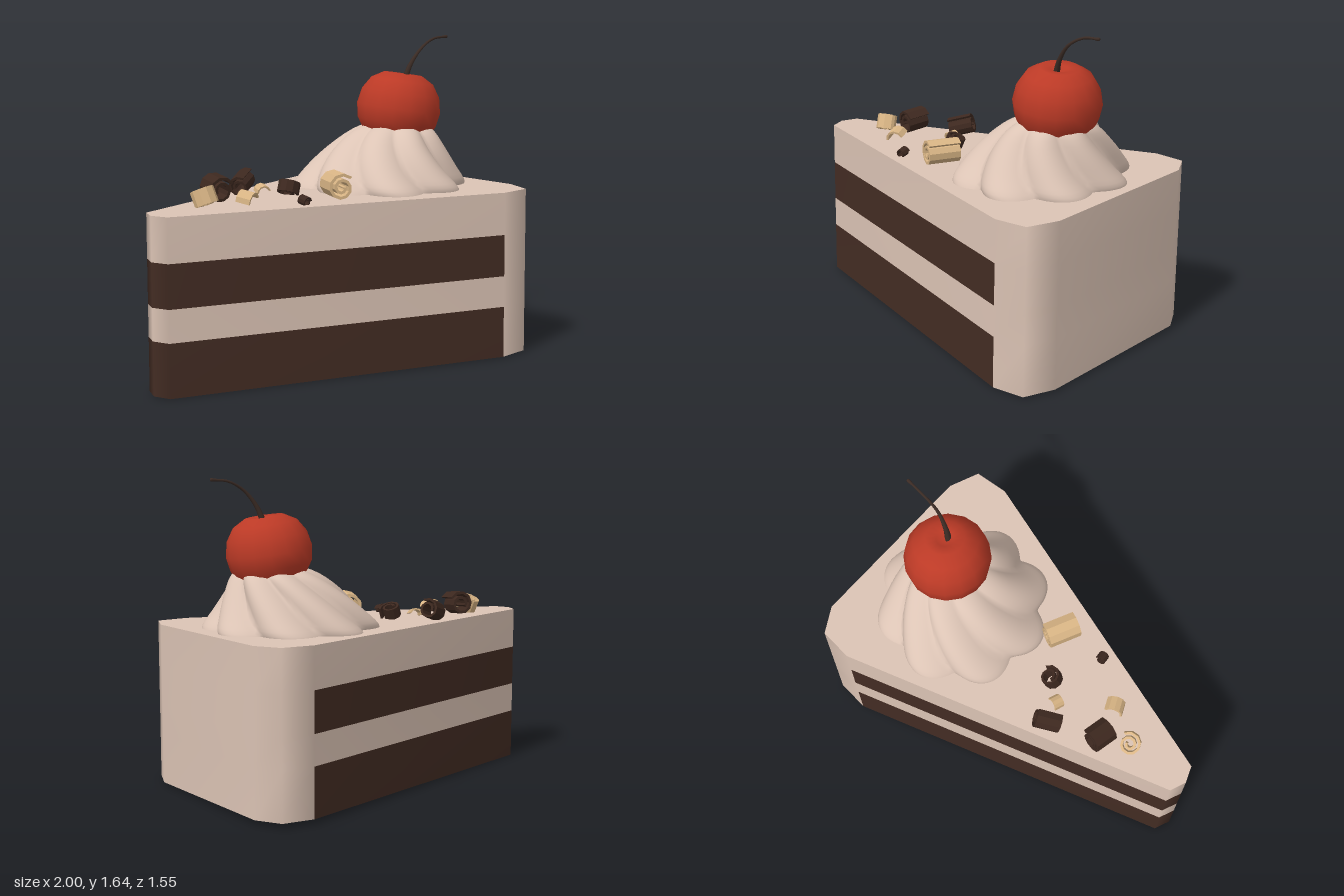
import * as THREE from 'three';
import { mergeVertices } from 'three/addons/utils/BufferGeometryUtils.js';

const material = (name, color, side = THREE.FrontSide) => {
  const m = new THREE.MeshStandardMaterial({ color, side });
  m.name = name;
  return m;
};

export function createModel() {
  const model = new THREE.Group();
  model.name = 'cakeSlice';
  const frosting = material('frosting', 0xdcc4b5);
  const sponge = material('chocolateSponge', 0x432c23);
  const cherryRed = material('cherryRed', 0xbc3a26);
  const stemBrown = material('stemBrown', 0x3c2c25);
  const darkChocolate = material('darkChocolate', 0x3d281f);
  const caramel = material('caramelChocolate', 0xd9b585);

  const add = (name, geometry, mat, parent = model) => {
    const mesh = new THREE.Mesh(geometry, mat);
    mesh.name = name;
    parent.add(mesh);
    return mesh;
  };
  const moveVertices = (geometry, rule) => {
    const p = geometry.attributes.position;
    const v = new THREE.Vector3();
    for (let i = 0; i < p.count; i++) {
      rule(v.fromBufferAttribute(p, i));
      p.setXYZ(i, v.x, v.y, v.z);
    }
    return geometry;
  };
  const smooth = (geometry) => {
    geometry.deleteAttribute('normal');
    geometry.deleteAttribute('uv');
    const merged = mergeVertices(geometry, 1e-4);
    merged.computeVertexNormals();
    return merged;
  };

  // Slice outline (x, z), starting at the tip and passing along the front
  const outline = [
    [-1, 0.61], [-0.99, 0.7], [-0.92, 0.76],
    [0.85, 0.4], [1, 0.3], [0.98, 0.13],
    [0.52, -0.69], [0.39, -0.77], [0.23, -0.7],
  ];
  const levels = [0, 0.263, 0.423, 0.637, 0.855];
  const height = levels[4];
  // The slice leans slightly towards the back
  const lean = (v) => {
    const z = v.z;
    v.z += 0.016 * (1 - v.y / height);
    v.y += 0.016 * (0.77 - z);
  };
  const topAt = (z) => height + 0.016 * (0.77 - z);

  // Walls: alternating sponge and frosting, with a frosted outer end
  const n = outline.length;
  const positions = [];
  for (const y of levels) for (const [x, z] of outline) positions.push(x, y, z);
  const faces = [[], []];
  for (let l = 0; l < 4; l++) {
    for (let i = 0; i < n; i++) {
      const j = (i + 1) % n;
      const isFrosted = l % 2 === 1 || (i >= 3 && i <= 7);
      const a = l * n + i, b = l * n + j;
      faces[isFrosted ? 0 : 1].push(a, b, b + n, a, b + n, a + n);
    }
  }
  const walls = new THREE.BufferGeometry();
  walls.setAttribute('position', new THREE.Float32BufferAttribute(positions, 3));
  walls.setIndex([...faces[0], ...faces[1]]);
  walls.addGroup(0, faces[0].length, 0);
  walls.addGroup(faces[0].length, faces[1].length, 1);
  moveVertices(walls, lean);
  walls.computeVertexNormals();
  add('layeredSides', walls, [frosting, sponge]);

  // Top and underside
  const cap = (points, y, up) => {
    const s = up ? -1 : 1;
    const shape = new THREE.Shape(points.map(([x, z]) => new THREE.Vector2(x, s * z)));
    const g = new THREE.ShapeGeometry(shape).rotateX(s * Math.PI / 2).translate(0, y, 0);
    return moveVertices(g, lean);
  };
  add('frostedTop', cap(outline, height, true), frosting);
  add('spongeBase', cap([...outline.slice(0, 4), outline[8]], 0, false), sponge);
  add('frostedBaseEdge', cap(outline.slice(3), 0, false), frosting);

  // Whipped cream: eight twisted lobes, leaning under the cherry
  const creamProfile = new THREE.SplineCurve([
    [0.46, 0.845], [0.455, 0.885], [0.405, 0.95], [0.315, 1.06],
    [0.225, 1.15], [0.13, 1.19], [0.001, 1.2],
  ].map(([r, y]) => new THREE.Vector2(r, y))).getPoints(18);
  const cream = moveVertices(new THREE.LatheGeometry(creamProfile, 96), (v) => {
    const t = (v.y - 0.845) / 0.355;
    const r = Math.hypot(v.x, v.z);
    const a = Math.atan2(v.z, v.x);
    const lobe = 0.84 + 0.16 * Math.abs(Math.cos(4 * (a - 0.75 * t)));
    v.x = 0.305 + 0.11 * t * t + Math.cos(a) * r * lobe;
    v.z = -0.03 - 0.035 * t + Math.sin(a) * r * lobe;
  });
  add('whippedCream', smooth(cream), frosting);

  // Cherry with a dimple, tipped a little to the side
  const cherry = new THREE.Group();
  cherry.name = 'cherry';
  cherry.position.set(0.415, 1.255, -0.07);
  cherry.rotation.z = -0.14;
  model.add(cherry);
  const cherryProfile = [
    [0, -0.2], [0.09, -0.185], [0.165, -0.135], [0.21, -0.065], [0.223, 0.01],
    [0.207, 0.09], [0.165, 0.155], [0.1, 0.192], [0.045, 0.185], [0, 0.155],
  ].map(([r, y]) => new THREE.Vector2(r, y));
  add('cherryFruit', smooth(new THREE.LatheGeometry(cherryProfile, 16)), cherryRed, cherry);

  // Curved stem, thick at the base with a small knob at the end
  const stemPath = new THREE.CatmullRomCurve3([
    [0.44, 1.4, -0.05], [0.475, 1.49, -0.055], [0.54, 1.575, -0.075],
    [0.62, 1.625, -0.12], [0.705, 1.635, -0.16],
  ].map((p) => new THREE.Vector3(...p)));
  const steps = 14, sides = 7;
  const stem = new THREE.TubeGeometry(stemPath, steps, 0.01, sides);
  const sp = stem.attributes.position;
  for (let i = 0; i < sp.count; i++) {
    const t = Math.floor(i / (sides + 1)) / steps;
    const size = 0.65 + 1.3 * (1 - t) ** 3 + (t > 0.95 ? 0.3 : 0);
    const c = stemPath.getPointAt(t);
    const v = new THREE.Vector3().fromBufferAttribute(sp, i).sub(c).multiplyScalar(size).add(c);
    sp.setXYZ(i, v.x, v.y, v.z);
  }
  add('cherryStem', stem, stemBrown);
  const knob = add('stemTip', new THREE.SphereGeometry(0.009, 7, 5), stemBrown);
  knob.position.set(0.705, 1.635, -0.16);

  // Chocolate curls: a spiral strip extruded along its axis
  const curl = (name, mat, [x, lift, z], radius, length, turns, rotation) => {
    const count = Math.max(4, Math.round(turns * 10));
    const thick = radius * 0.2;
    const ring = (offset) => Array.from({ length: count + 1 }, (_, i) => {
      const a = (i / count) * turns * Math.PI * 2;
      const r = radius * (1 - 0.36 * (a / (Math.PI * 2))) - offset;
      return new THREE.Vector2(Math.cos(a) * r, Math.sin(a) * r);
    });
    const shape = new THREE.Shape([...ring(0), ...ring(thick).reverse()]);
    const g = new THREE.ExtrudeGeometry(shape, { depth: length, bevelEnabled: false });
    const mesh = add(name, g.translate(0, 0, -length / 2), mat);
    mesh.position.set(x, topAt(z) + lift, z);
    mesh.rotation.set(...rotation);
  };
  curl('caramelRoll', caramel, [-0.03, 0.062, 0.39], 0.075, 0.17, 1.9, [0, 0.06, 0.8]);
  curl('caramelSpiral', caramel, [-0.715, 0.045, 0.5], 0.066, 0.08, 1.9, [1.3, 0.3, 0]);
  curl('darkRoll', darkChocolate, [-0.63, 0.065, 0.37], 0.073, 0.12, 1.5, [0.1, 0.3, 0.5]);
  curl('darkLeaningCurl', darkChocolate, [-0.46, 0.055, 0.15], 0.06, 0.13, 1.4, [0.3, -0.5, 1.2]);
  curl('darkRing', darkChocolate, [-0.25, 0.04, 0.25], 0.062, 0.06, 1.5, [1.25, -0.25, 0]);
  curl('caramelShaving', caramel, [-0.505, 0.02, 0.505], 0.055, 0.075, 0.45, [0.3, 0.9, 0.2]);
  curl('smallCaramelShaving', caramel, [-0.38, 0.02, 0.23], 0.04, 0.055, 0.45, [0.2, 0.2, 0.3]);
  curl('smallDarkShaving', darkChocolate, [-0.23, 0.018, 0.545], 0.03, 0.045, 1.2, [0.3, 0.6, 0]);

  return model;
}
